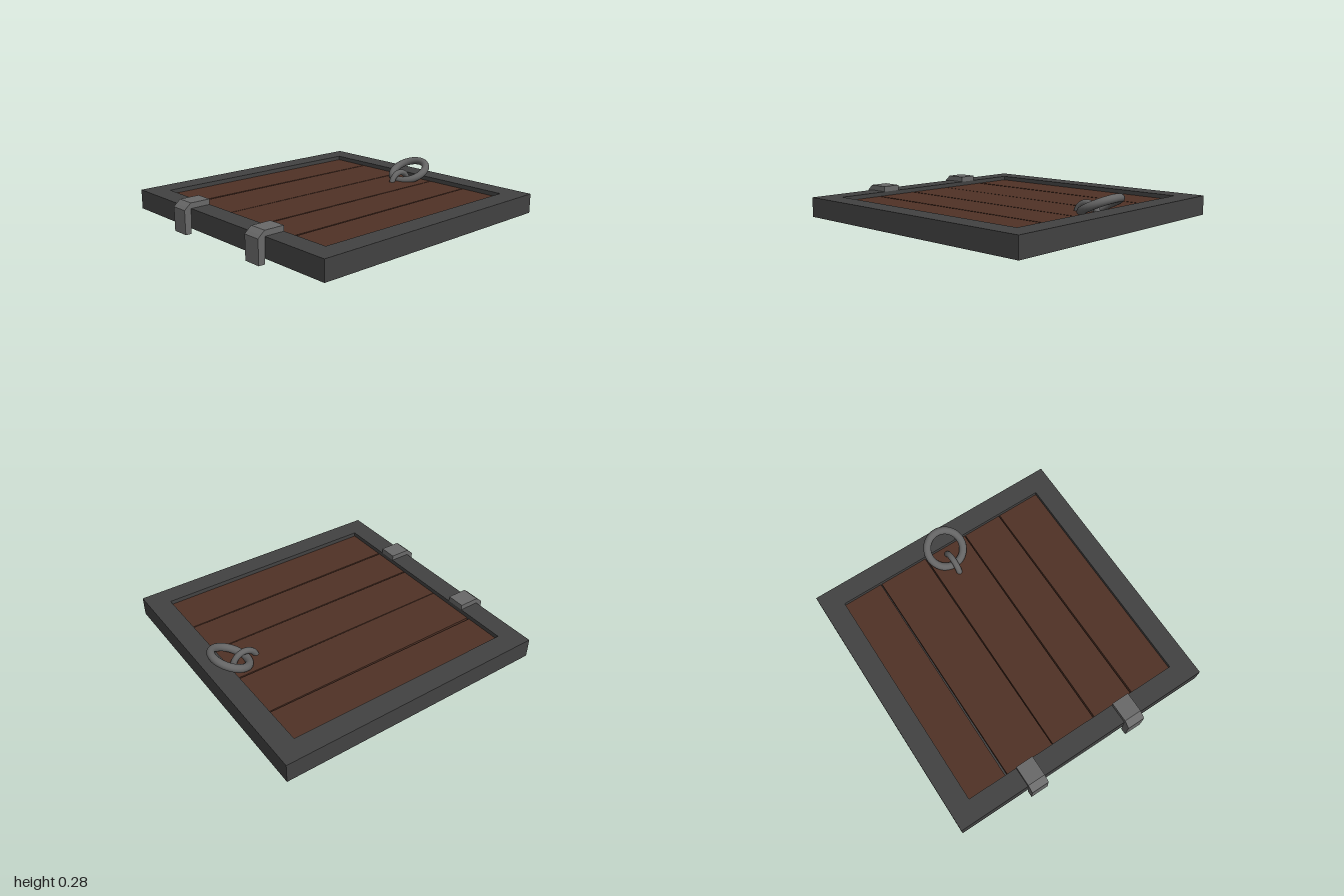
import * as THREE from 'three';

const mat = (color) => new THREE.MeshStandardMaterial({ color });
const frameMat = mat(0x424242);
const woodMat = mat(0x503226);
const hingeMat = mat(0x696969);
const ringMat = mat(0x646464);

const shapeOf = (pts) => new THREE.Shape(pts.map(([x, y]) => new THREE.Vector2(x, y)));
const rect = (x0, x1, z) => [[x0, -z], [x1, -z], [x1, z], [x0, z]];

// Flat plate: an outline drawn in (x, -z), raised from y0 to y1
function plate(shape, y0, y1) {
  const geo = new THREE.ExtrudeGeometry(shape, { depth: y1 - y0, bevelEnabled: false });
  return geo.rotateX(-Math.PI / 2).translate(0, y0, 0);
}

export function createModel() {
  const model = new THREE.Group();
  model.name = 'trapdoor';
  const add = (name, geo, material, parent = model) => {
    const mesh = new THREE.Mesh(geo, material);
    mesh.name = name;
    parent.add(mesh);
    return mesh;
  };

  const left = -0.805, right = 0.85, inner = 0.825;
  const bottom = 0.035, top = 0.173, floor = 0.1, plankTop = 0.143;

  // Border frame and the closed panel under the planks
  const border = shapeOf(rect(-0.95, 1, 0.975));
  border.holes.push(shapeOf(rect(left, right, inner)));
  add('frame', plate(border, bottom, top), frameMat);
  add('backPanel', plate(shapeOf(rect(left, right, inner)), bottom, floor), frameMat);

  // Planks with slightly uneven edges: z at [back left, back right, front left, front right]
  const planks = new THREE.Group();
  planks.name = 'planks';
  model.add(planks);
  [
    [-inner, -inner, -0.54, -0.531],
    [-0.524, -0.523, -0.161, -0.156],
    [-0.156, -0.147, 0.177, 0.187],
    [0.187, 0.194, 0.492, 0.49],
    [0.503, 0.498, inner, inner],
  ].forEach(([bl, br, fl, fr], i) => {
    const outline = shapeOf([[left, -fl], [right, -fr], [right, -br], [left, -bl]]);
    add(`plank${i + 1}`, plate(outline, floor, plankTop), woodMat, planks);
  });

  // Two bent hinge straps over the edge
  const strap = shapeOf([
    [-1, 0], [-0.955, 0], [-0.95, top], [-0.805, top],
    [-0.805, 0.211], [-0.95, 0.211], [-0.98, 0.187], [-1, 0.168],
  ]);
  for (const side of [-1, 1]) {
    const geo = new THREE.ExtrudeGeometry(strap, { depth: 0.13, bevelEnabled: false });
    add(side < 0 ? 'backHinge' : 'frontHinge', geo.translate(0, 0, side * 0.392 - 0.065), hingeMat);
  }

  // Staple and the tilted pull ring threaded through it
  const staple = add('staple', new THREE.TorusGeometry(0.088, 0.022, 12, 24, Math.PI), ringMat);
  staple.position.set(0.71, 0.114, 0);

  const ring = add('pullRing', new THREE.TorusGeometry(0.132, 0.028, 14, 40).rotateX(Math.PI / 2), ringMat);
  ring.position.set(0.815, 0.2, 0);
  ring.rotation.z = THREE.MathUtils.degToRad(25);

  return model;
}
